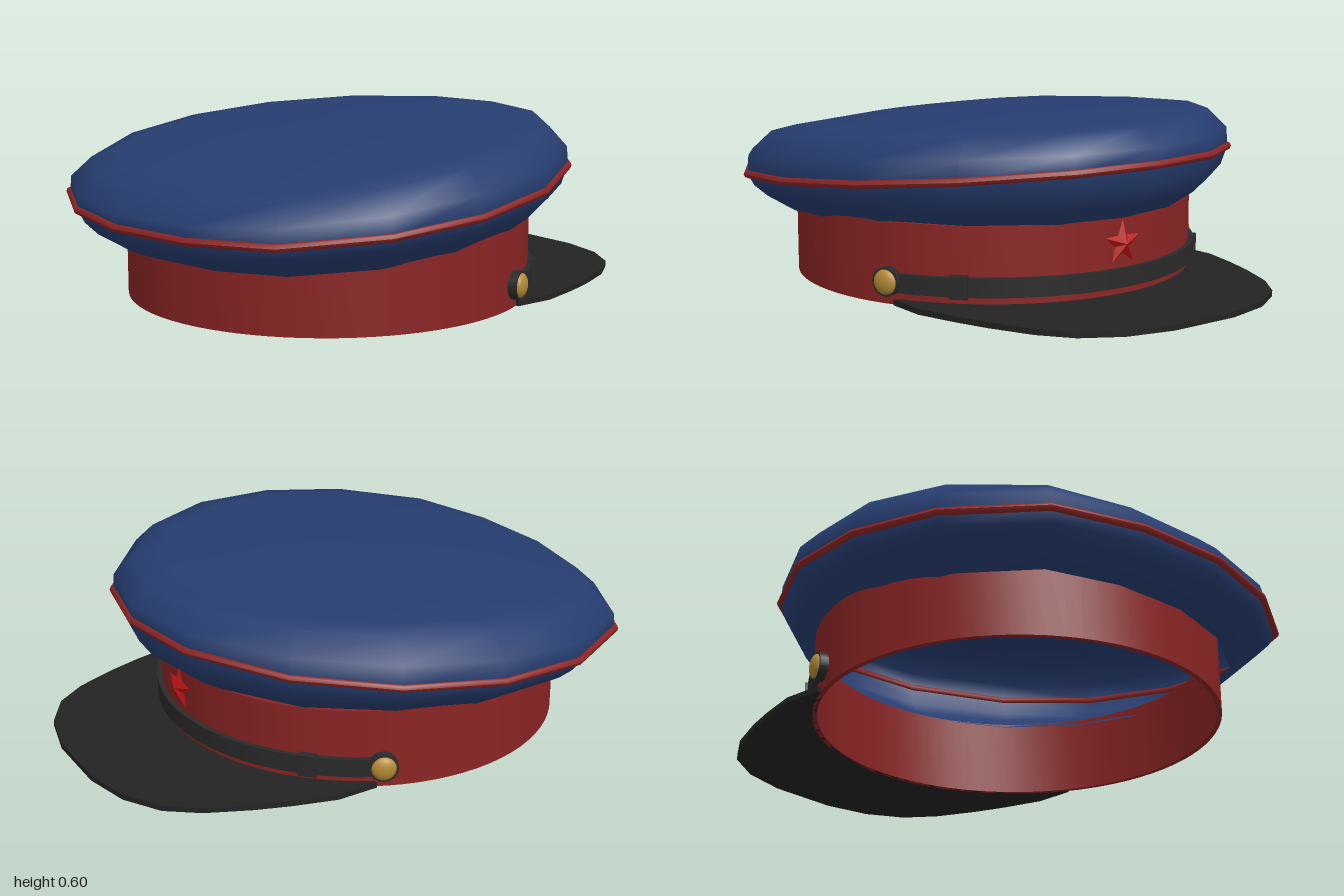
import * as THREE from 'three';
import { toCreasedNormals } from 'three/addons/utils/BufferGeometryUtils.js';

const CX = -0.11; // centre of the head opening

function mat(name, color, side = THREE.FrontSide) {
  const m = new THREE.MeshStandardMaterial({ color, side });
  m.name = name;
  return m;
}

// Sixteen-sided crown outline, front to back, mirrored over z
const half = [[0.78, 0], [0.72, 0.3], [0.5, 0.6], [0.19, 0.79], [-0.16, 0.86],
  [-0.5, 0.81], [-0.81, 0.62], [-0.95, 0.33], [-1, 0]];
const outline = [...half, ...half.slice(1, -1).reverse().map(([x, z]) => [x, -z])];

// Loft of scaled outlines; each ring is [scale, frontY, sideY, backY]
function loft(rings) {
  const n = outline.length, pos = [], idx = [];
  for (const [s, f, m, b] of rings) {
    for (const [x, z] of outline) {
      const u = (x - CX) / 0.89;
      pos.push(CX + (x - CX) * s, m + (f - b) / 2 * u + ((f + b) / 2 - m) * u * u, z * s);
    }
  }
  for (let i = 0; i < rings.length - 1; i++) {
    for (let j = 0; j < n; j++) {
      const a = i * n + j, b = i * n + (j + 1) % n;
      idx.push(a, a + n, b, b, a + n, b + n);
    }
  }
  const g = new THREE.BufferGeometry();
  g.setAttribute('position', new THREE.Float32BufferAttribute(pos, 3));
  g.setIndex(idx);
  g.computeVertexNormals();
  return g;
}

// Extrude a plan shape upward from y0 to y1
function slab(shape, y0, y1) {
  const g = new THREE.ExtrudeGeometry(shape, { depth: y1 - y0, bevelEnabled: false, curveSegments: 40 });
  g.rotateX(-Math.PI / 2).translate(0, y0, 0);
  return toCreasedNormals(g, 0.6);
}

// Curved strip following the band between two angles
function strip(r0, r1, a0, a1, y0, y1) {
  const s = new THREE.Shape();
  s.absarc(CX, 0, r1, a0, a1, false);
  s.absarc(CX, 0, r0, a1, a0, true);
  return slab(s, y0, y1);
}

// Five-pointed star with a raised centre, facing +x
function starGeometry(r, depth) {
  const pos = [];
  const p = (i) => {
    const a = i * Math.PI / 5, q = i % 2 ? r * 0.42 : r;
    return [0, Math.cos(a) * q, Math.sin(a) * q];
  };
  for (let i = 0; i < 10; i++) pos.push(depth, 0, 0, ...p(i), ...p(i + 1));
  const g = new THREE.BufferGeometry();
  g.setAttribute('position', new THREE.Float32BufferAttribute(pos, 3));
  g.computeVertexNormals();
  return g;
}

export function createModel() {
  const blue = mat('blue cloth', 0x263d70, THREE.DoubleSide);
  const red = mat('red cloth', 0x8a2424);
  const black = mat('black visor', 0x232323);
  const leather = mat('black leather', 0x2a2a2a);
  const gold = mat('gold', 0xb48a35);
  const starRed = mat('bright red', 0xb81414, THREE.DoubleSide);

  const cap = new THREE.Group();
  cap.name = 'peakedCap';
  const add = (name, geo, material, parent = cap) => {
    const m = new THREE.Mesh(geo, material);
    m.name = name;
    parent.add(m);
    return m;
  };

  // Crown, tilted up at the front
  add('crown', loft([
    [0.805, 0.28, 0.24, 0.2],
    [0.91, 0.34, 0.305, 0.235],
    [0.96, 0.40, 0.345, 0.28],
    [0.985, 0.48, 0.39, 0.325],
    [0.98, 0.535, 0.465, 0.37],
    [0.9, 0.595, 0.54, 0.435],
    [0.8, 0.6, 0.553, 0.465],
    [0.45, 0.6, 0.58, 0.54],
    [0.001, 0.588, 0.588, 0.588],
  ]), blue);

  // Piping around the widest line of the crown
  const piping = [];
  for (let i = 0; i <= 8; i++) {
    const a = i / 8 * Math.PI * 2, dy = Math.sin(a) * 0.014;
    piping.push([0.986 + Math.cos(a) * 0.014, 0.48 + dy, 0.39 + dy, 0.325 + dy]);
  }
  add('piping', loft(piping), red);

  // Head band
  const ring = new THREE.Shape().absarc(CX, 0, 0.71, 0, Math.PI * 2, false);
  ring.holes.push(new THREE.Path().absarc(CX, 0, 0.692, 0, Math.PI * 2, true));
  add('band', slab(ring, 0, 0.28), red);

  // Visor
  const edge = [[0.2, 0.65], [0.35, 0.655], [0.5, 0.615], [0.62, 0.575], [0.77, 0.51],
    [0.88, 0.43], [0.96, 0.3], [1, 0.13]];
  const brim = new THREE.Shape();
  brim.moveTo(edge[0][0], -edge[0][1]);
  edge.slice(1).forEach(([x, z]) => brim.lineTo(x, -z));
  [...edge].reverse().forEach(([x, z]) => brim.lineTo(x, z));
  brim.absarc(CX, 0, 0.695, 1.105, -1.105, true);
  add('visor', slab(brim, 0, 0.02), black);

  // Chin strap with slides and buttons
  add('strap', strip(0.7, 0.728, -1.15, 1.15, 0.045, 0.11), leather);
  for (const side of [1, -1]) {
    const a = side * 0.807;
    add('strapSlide', strip(0.7, 0.738, a - 0.042, a + 0.042, 0.04, 0.117), leather);

    const button = new THREE.Group();
    button.name = 'button';
    const b = side * 1.155;
    button.position.set(CX + Math.cos(b) * 0.72, 0.08, Math.sin(b) * 0.72);
    button.rotation.y = -b;
    const base = new THREE.CylinderGeometry(0.05, 0.05, 0.036, 20).rotateZ(Math.PI / 2);
    add('buttonBase', base, leather, button);
    const dome = new THREE.SphereGeometry(0.043, 16, 10).scale(0.5, 1, 1).translate(0.016, 0, 0);
    add('buttonDome', dome, gold, button);
    cap.add(button);
  }

  // Star badge
  add('starBadge', starGeometry(0.08, 0.025), starRed).position.set(0.602, 0.193, 0);

  return cap;
}
